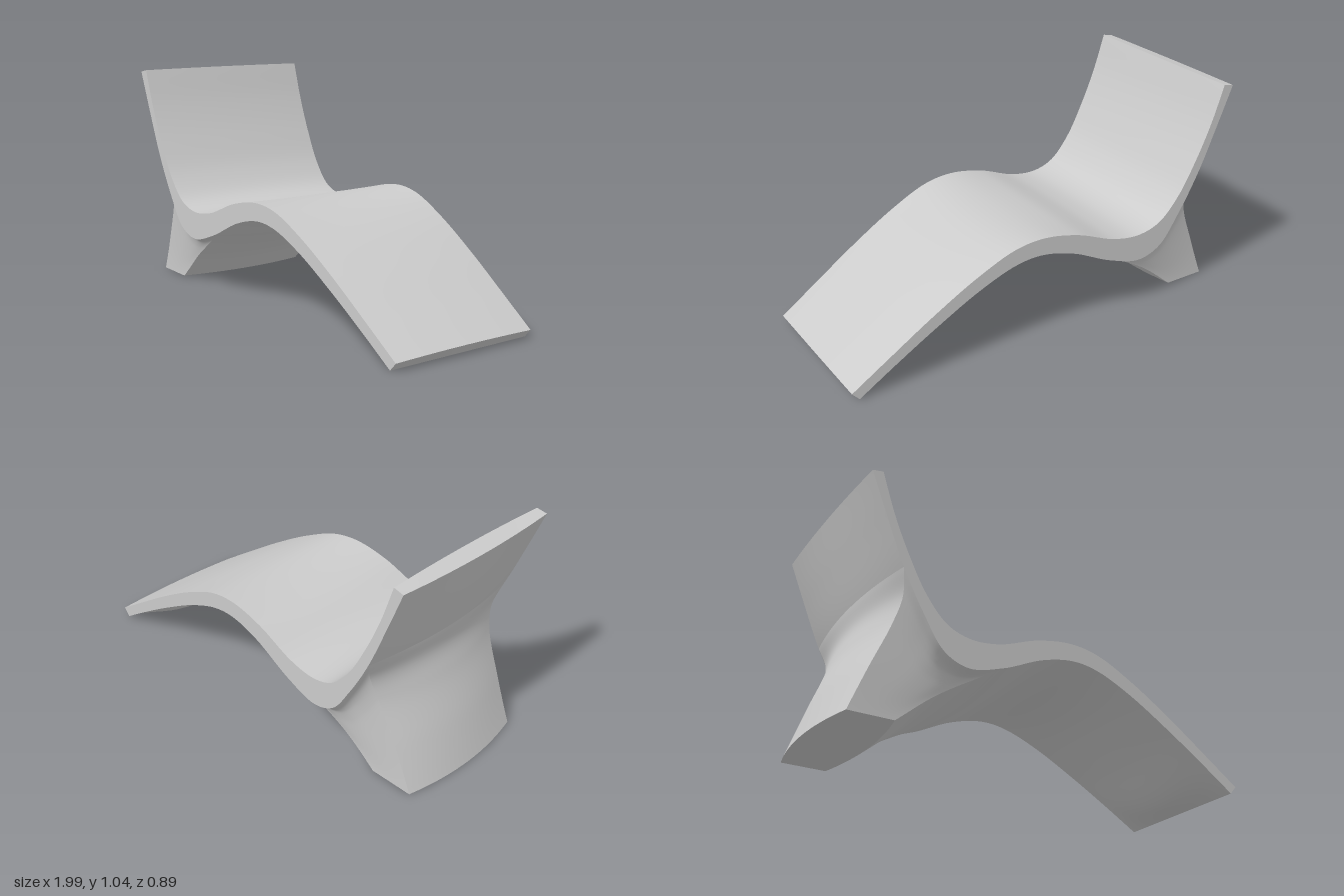
import * as THREE from 'three';
import { mergeGeometries } from 'three/addons/utils/BufferGeometryUtils.js';

const material = new THREE.MeshStandardMaterial({ color: 0xcccccc });
const lerp = THREE.MathUtils.lerp;
const curve = (pts) => new THREE.CatmullRomCurve3(
  pts.map(([x, y]) => new THREE.Vector3(x, y, 0)), false, 'centripetal');

// Half width narrows from the headrest to the foot end
const halfWidth = (x) => 0.405 - 0.044 * x;

// Smooth patch from fn(u, v); its front faces du x dv
function patch(nu, nv, fn) {
  const pos = [], index = [];
  for (let i = 0; i <= nu; i++)
    for (let j = 0; j <= nv; j++) pos.push(...fn(i / nu, j / nv).toArray());
  for (let i = 0; i < nu; i++)
    for (let j = 0; j < nv; j++) {
      const a = i * (nv + 1) + j, d = a + 1, b = a + nv + 1, c = b + 1;
      index.push(a, b, c, a, c, d);
    }
  const g = new THREE.BufferGeometry();
  g.setAttribute('position', new THREE.Float32BufferAttribute(pos, 3));
  g.setIndex(index);
  g.computeVertexNormals();
  return g;
}

function part(name, patches) {
  const mesh = new THREE.Mesh(mergeGeometries(patches), material);
  mesh.name = name;
  return mesh;
}

// Side profiles from headrest to foot end: upper face, lower edge, lower middle
const top = curve([[-0.906, 1.04], [-0.845, 0.86], [-0.77, 0.69], [-0.68, 0.53], [-0.58, 0.425],
  [-0.47, 0.39], [-0.33, 0.405], [-0.126, 0.481], [0.05, 0.513], [0.195, 0.497],
  [0.382, 0.417], [0.596, 0.294], [0.81, 0.155], [0.988, 0.037]]);
const edge = curve([[-0.955, 1.03], [-0.88, 0.84], [-0.79, 0.625], [-0.69, 0.44], [-0.59, 0.3],
  [-0.475, 0.257], [-0.31, 0.3], [-0.1, 0.395], [0.06, 0.432], [0.19, 0.42],
  [0.37, 0.35], [0.58, 0.235], [0.78, 0.113], [0.955, 0]]);
const belly = curve([[-0.97, 1.025], [-0.905, 0.83], [-0.83, 0.62], [-0.74, 0.42], [-0.62, 0.27],
  [-0.475, 0.22], [-0.3, 0.27], [-0.1, 0.355], [0.08, 0.388], [0.2, 0.378],
  [0.355, 0.325], [0.585, 0.18], [0.8, 0.008], [0.955, 0]]);

// Crown of the upper face: bulged at both ends, dished over the knee
const crown = (x) => 0.009 - 0.025 * Math.exp(-(((x - 0.08) / 0.25) ** 2));

function topPoint(u, t) {
  const p = top.getPoint(u), d = top.getTangent(u);
  const b = crown(p.x) * (1 - t * t), w = halfWidth(p.x);
  return new THREE.Vector3(p.x - d.y * b, p.y + d.x * b, t * w);
}

function bottomPoint(u, t) {
  const e = edge.getPoint(u), w = halfWidth(e.x);
  const p = e.lerp(belly.getPoint(u), 1 - t * t);
  return new THREE.Vector3(p.x, Math.max(0, p.y), t * w);
}

const between = (u, t, k) => bottomPoint(u, t).lerp(topPoint(u, t), k);

function buildShell() {
  return part('loungeShell', [
    patch(104, 16, (u, v) => topPoint(u, 1 - 2 * v)),
    patch(104, 16, (u, v) => bottomPoint(u, 2 * v - 1)),
    patch(104, 1, (u, v) => between(u, 1, v)),
    patch(104, 1, (u, v) => between(u, -1, 1 - v)),
    patch(1, 16, (u, v) => between(1, 2 * v - 1, u)),
    patch(1, 16, (u, v) => between(0, 1 - 2 * v, u)),
  ]);
}

// Leg: a flared column whose sides blend from the foot into the shell's lower edge
const legBack = curve([[-0.955, 0], [-0.875, 0.2], [-0.79, 0.41], [-0.767, 0.52], [-0.79, 0.625]]);
const legFront = curve([[-0.75, 0], [-0.58, 0.14], [-0.39, 0.257], [-0.31, 0.3]]);
const U0 = 2 / 13, U1 = 6 / 13;

function legWidth(x, s) {
  return lerp(0.34, halfWidth(x), s * s);
}

function legSide(j, s, t) {
  const b = legBack.getPoint(s), f = legFront.getPoint(s);
  const k = edge.getPoint(lerp(U0, U1, j));
  const k0 = edge.getPoint(U0), k1 = edge.getPoint(U1);
  const blend = (a) => {
    const f0 = legBack.points[0][a], f1 = legFront.points[0][a];
    return (1 - s) * lerp(f0, f1, j) + s * k[a] + lerp(b[a], f[a], j)
      - (1 - s) * lerp(f0, f1, j) - s * lerp(k0[a], k1[a], j);
  };
  const x = blend('x');
  return new THREE.Vector3(x, blend('y'), t * legWidth(x, s));
}

function legBackPoint(s, t) {
  const p = legBack.getPoint(s), w = legWidth(p.x, s);
  const b = (0.043 + 0.02 * Math.sin(Math.PI * s)) * (1 - t * t);
  return new THREE.Vector3(p.x - b, p.y, t * w);
}

function legFrontPoint(s, t) {
  const p = legFront.getPoint(s), w = legWidth(p.x, s), b = 1 - t * t;
  return new THREE.Vector3(p.x + lerp(0.04, 0.01, s) * b, p.y - 0.035 * s * (1 - s * 0.1) * b, t * w);
}

function buildLeg() {
  return part('rearLeg', [
    patch(32, 16, (s, v) => legBackPoint(s, 1 - 2 * v)),
    patch(32, 16, (s, v) => legFrontPoint(s, 2 * v - 1)),
    patch(24, 32, (j, s) => legSide(j, s, 1)),
    patch(32, 24, (s, j) => legSide(j, s, -1)),
    patch(1, 16, (j, v) => legBackPoint(0, 2 * v - 1).lerp(legFrontPoint(0, 2 * v - 1), j)),
  ]);
}

export function createModel() {
  const group = new THREE.Group();
  group.name = 'loungeChair';
  group.add(buildShell(), buildLeg());
  return group;
}
